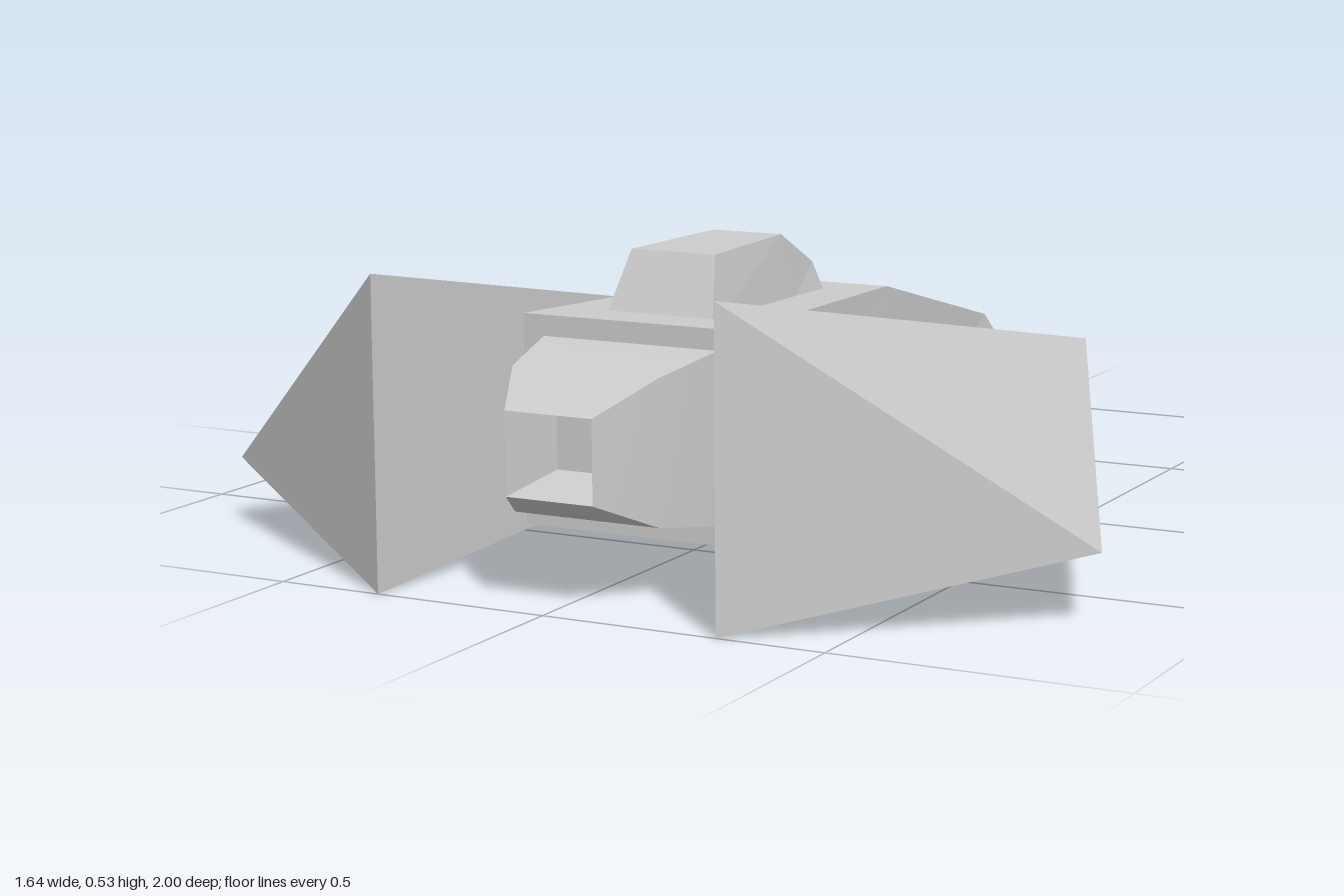
import * as THREE from 'three';
import { toCreasedNormals } from 'three/addons/utils/BufferGeometryUtils.js';
import { ConvexGeometry } from 'three/addons/geometries/ConvexGeometry.js';

const flat = new THREE.MeshStandardMaterial({ color: 0xcccccc, flatShading: true });
const smooth = new THREE.MeshStandardMaterial({ color: 0xcccccc });

// Four-cornered cross-section, symmetric in x; its lower and upper edges may differ in z and width.
function ring(zLow, wLow, yLow, zHigh = zLow, wHigh = wLow, yHigh = yLow) {
  return [[-wLow, yLow, zLow], [wLow, yLow, zLow], [wHigh, yHigh, zHigh], [-wHigh, yHigh, zHigh]];
}

// Skin a row of rings running from front (+z) to back, and close both ends.
function loft(rings) {
  const pos = [];
  const quad = (a, b, c, d) => pos.push(...a, ...b, ...c, ...a, ...c, ...d);
  quad(...rings[0]);
  for (let r = 0; r < rings.length - 1; r++) {
    const a = rings[r], b = rings[r + 1];
    for (let i = 0; i < 4; i++) {
      const j = (i + 1) % 4;
      quad(a[i], b[i], b[j], a[j]);
    }
  }
  quad(...[...rings[rings.length - 1]].reverse());
  const geometry = new THREE.BufferGeometry();
  geometry.setAttribute('position', new THREE.Float32BufferAttribute(pos, 3));
  geometry.computeVertexNormals();
  return geometry;
}

export function createModel() {
  const group = new THREE.Group();
  const add = (name, geometry, material = flat) => {
    const mesh = new THREE.Mesh(geometry, material);
    mesh.name = name;
    group.add(mesh);
  };

  // Tapering hull; the last rings sink a pocket into the sloped tail
  add('hull', loft([
    ring(0.715, 0.203, 0.07, 0.715, 0.203, 0.43),
    ring(0.05, 0.156, 0.08, 0.05, 0.152, 0.408),
    ring(-0.725, 0.103, 0.09, -0.52, 0.097, 0.27),
    ring(-0.69, 0.068, 0.121, -0.57, 0.068, 0.226),
    ring(-0.69, 0.068, 0.12, -0.57, 0.068, 0.12),
  ]));

  // Rounded nose with a tapered rectangular opening
  add('nose', toCreasedNormals(loft([
    ring(0.86, 0.053, 0.205, 0.86, 0.053, 0.295),
    ring(0.975, 0.08, 0.18, 0.975, 0.08, 0.32),
    ring(0.86, 0.135, 0.127, 0.86, 0.135, 0.37),
    ring(0.71, 0.165, 0.102, 0.71, 0.165, 0.395),
  ]), 0.5), smooth);

  // Canopy on top of the hull
  add('canopy', loft([
    ring(0.62, 0.103, 0.41, 0.565, 0.08, 0.527),
    ring(0.30, 0.083, 0.40, 0.30, 0.067, 0.528),
    ring(0.14, 0.073, 0.40, 0.165, 0.06, 0.462),
  ]));

  // Block through the hull that carries the wings on both sides
  add('wingMount', loft([
    ring(0.6, 0.273, 0.16, 0.6, 0.273, 0.34),
    ring(-0.48, 0.172, 0.13, -0.48, 0.172, 0.23),
  ]));

  // Wedge-shaped wings
  for (const [side, name] of [[1, 'leftWing'], [-1, 'rightWing']]) {
    add(name, new ConvexGeometry([
      new THREE.Vector3(side * 0.312, 0.527, 1),
      new THREE.Vector3(side * 0.312, 0, 1),
      new THREE.Vector3(side * 0.82, 0.12, 0.675),
      new THREE.Vector3(side * 0.12, 0.15, -1),
    ]));
  }
  return group;
}
